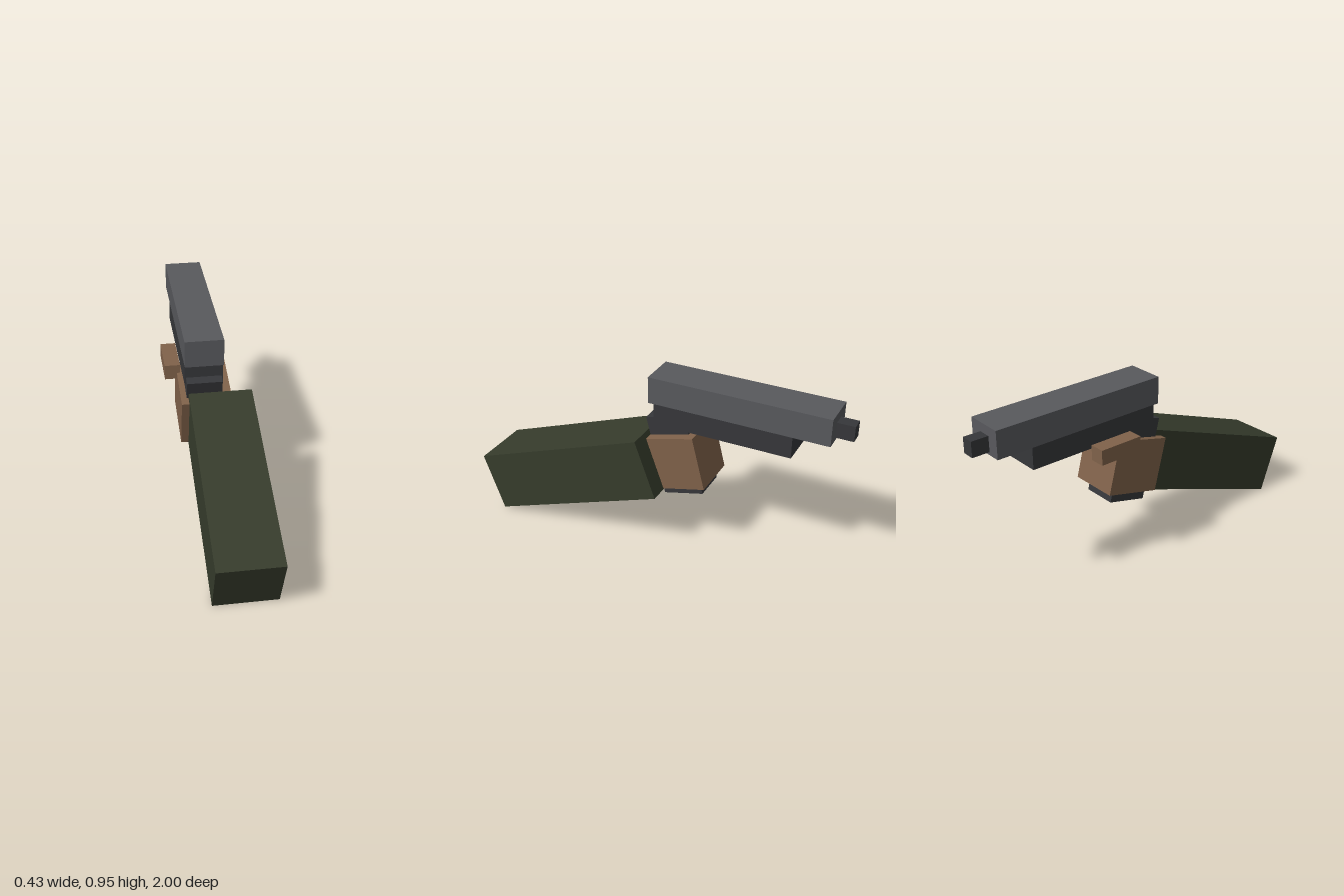
import * as THREE from 'three';

const colours = { steel: 0x58595d, dark: 0x36373a, skin: 0x80624a, cloth: 0x363c2c };

export function createModel() {
  const model = new THREE.Group();
  const materials = {};
  for (const key in colours) {
    materials[key] = new THREE.MeshStandardMaterial({ color: colours[key], flatShading: true });
  }

  // Box by size and centre, pitched about the x axis in degrees
  const addBox = (name, material, size, centre, pitch = 0) => {
    const mesh = new THREE.Mesh(new THREE.BoxGeometry(...size), materials[material]);
    mesh.name = name;
    mesh.position.set(...centre);
    mesh.rotation.x = THREE.MathUtils.degToRad(pitch);
    model.add(mesh);
  };

  // Pistol, pointing to -z
  addBox('slide', 'steel', [0.198, 0.143, 0.95], [-0.031, 0.881, -0.435]);
  addBox('frame', 'dark', [0.198, 0.114, 0.735], [-0.031, 0.753, -0.3575]);
  addBox('muzzle', 'dark', [0.066, 0.08, 0.11], [-0.033, 0.865, -0.945]);
  addBox('grip', 'dark', [0.182, 0.441, 0.221], [-0.031, 0.535, -0.1065], 14.3);

  // Hand around the grip, with the trigger finger along its right side
  addBox('hand', 'skin', [0.262, 0.288, 0.31], [-0.021, 0.5125, -0.111], 14.3);
  addBox('triggerFinger', 'skin', [0.08, 0.08, 0.24], [-0.175, 0.677, -0.27]);

  // Sleeved forearm, sloping down to the front
  addBox('sleeve', 'cloth', [0.326, 0.326, 1.02], [0.05, 0.328, 0.465], 20);

  return model;
}
